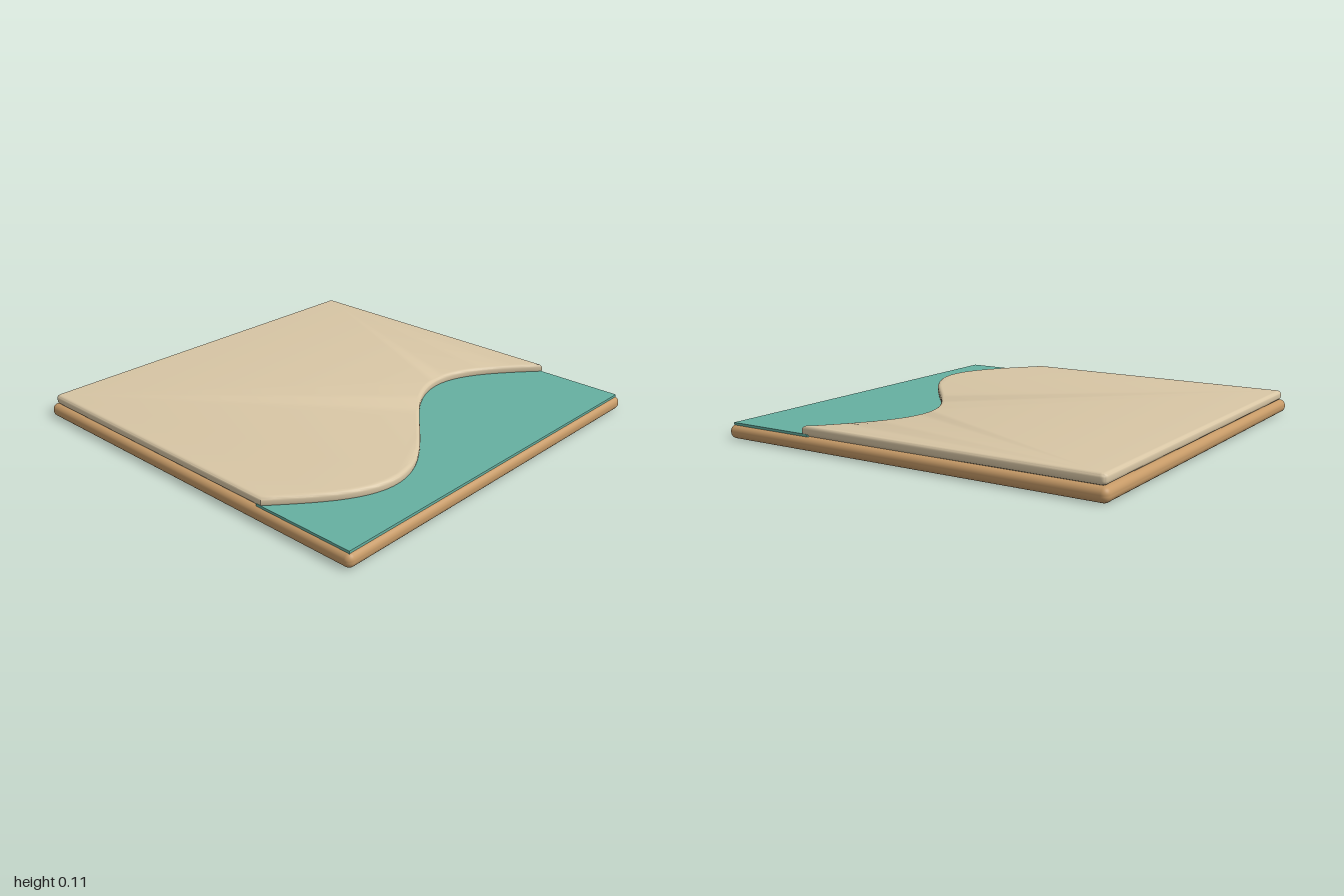
import * as THREE from 'three';
import { toCreasedNormals } from 'three/addons/utils/BufferGeometryUtils.js';
import { RoundedBoxGeometry } from 'three/addons/geometries/RoundedBoxGeometry.js';

const EDGE = 0.98;   // half size of the layers on top of the base
const STEPS = 48;

// Wavy shoreline: x as a function of z
const shoreX = (z) => 0.52 + 0.26 * Math.sin((Math.PI * z) / 0.95);

// Shoreline points from back to front (shape y is -z)
function shoreline(offset) {
  return Array.from({ length: STEPS + 1 }, (_, i) => {
    const z = -EDGE + (2 * EDGE * i) / STEPS;
    return new THREE.Vector2(shoreX(z) + offset, -z);
  });
}

// Extrude a plan outline upwards from height y
function layer(name, shape, y, options, material) {
  const geometry = new THREE.ExtrudeGeometry(shape, { curveSegments: 5, ...options });
  geometry.rotateX(-Math.PI / 2);
  geometry.computeBoundingBox();
  geometry.translate(0, y - geometry.boundingBox.min.y, 0);
  const mesh = new THREE.Mesh(toCreasedNormals(geometry, 0.7), material);
  mesh.name = name;
  return mesh;
}

export function createModel() {
  const group = new THREE.Group();
  group.name = 'shoreTile';

  const wood = new THREE.MeshStandardMaterial({ name: 'wood', color: 0xc69a67 });
  const sand = new THREE.MeshStandardMaterial({ name: 'sand', color: 0xd8c6a5 });
  const water = new THREE.MeshStandardMaterial({ name: 'water', color: 0x66b0a1 });

  // Rounded base slab
  const base = new THREE.Mesh(new RoundedBoxGeometry(2, 0.066, 2, 4, 0.03), wood);
  base.name = 'base';
  base.position.y = 0.033;
  group.add(base);

  // Thin water sheet, tucked slightly under the sand edge
  const waterShape = new THREE.Shape([
    ...shoreline(-0.03),
    new THREE.Vector2(EDGE, -EDGE),
    new THREE.Vector2(EDGE, EDGE),
  ]);
  group.add(layer('waterSheet', waterShape, 0.062, { depth: 0.014, bevelEnabled: false }, water));

  // Sand slab with softened edges, rounded outer corners and the wavy shore
  const r = 0.025;
  const sandShape = new THREE.Shape(shoreline(0));
  sandShape.lineTo(-EDGE + r, -EDGE);
  sandShape.quadraticCurveTo(-EDGE, -EDGE, -EDGE, -EDGE + r);
  sandShape.lineTo(-EDGE, EDGE - r);
  sandShape.quadraticCurveTo(-EDGE, EDGE, -EDGE + r, EDGE);
  group.add(layer('sandSlab', sandShape, 0.065, {
    depth: 0.015,
    bevelThickness: 0.017,
    bevelSize: 0.02,
    bevelOffset: -0.02,
    bevelSegments: 4,
  }, sand));

  return group;
}
